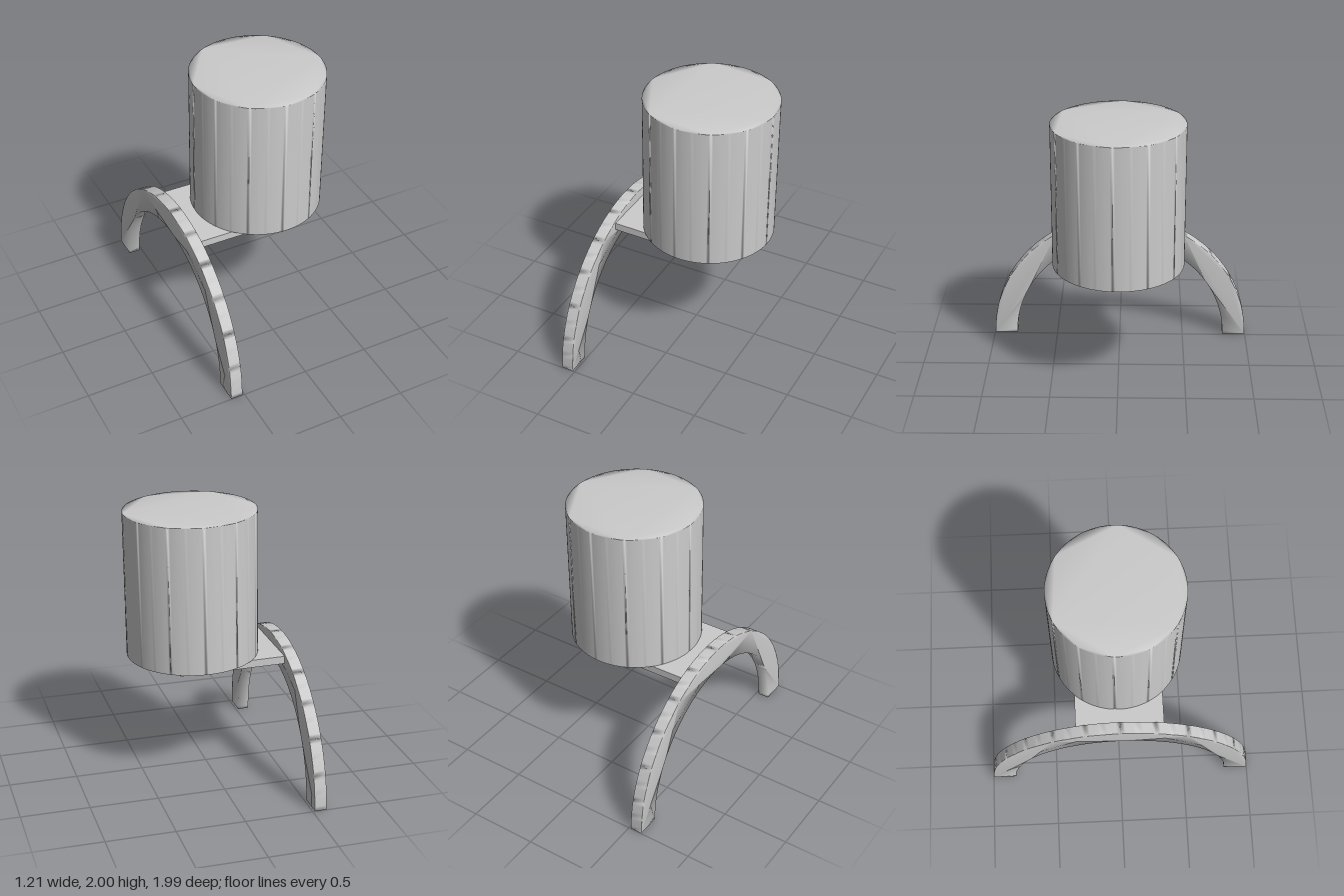
import * as THREE from 'three';
import { mergeVertices } from 'three/addons/utils/BufferGeometryUtils.js';

const material = new THREE.MeshStandardMaterial({ color: 0xcccccc });

// Extrude a shape and share its vertices, so shading runs softly over the edges
function softExtrude(shape, depth, curveSegments) {
  let geometry = new THREE.ExtrudeGeometry(shape, { depth, curveSegments, bevelEnabled: false });
  geometry.deleteAttribute('normal');
  geometry.deleteAttribute('uv');
  geometry = mergeVertices(geometry, 1e-4);
  geometry.computeVertexNormals();
  return geometry;
}

function addPart(parent, name, geometry) {
  const mesh = new THREE.Mesh(geometry, material);
  mesh.name = name;
  parent.add(mesh);
  return mesh;
}

export function createModel() {
  const model = new THREE.Group();
  model.name = 'archMountedCylinder';

  // Everything leans slightly towards +x
  const body = new THREE.Group();
  body.name = 'leaningBody';
  body.rotation.z = -0.014;
  model.add(body);

  // Half-ring arch with a flat rectangular section, spanning front to back
  const ring = new THREE.Shape();
  ring.absarc(0, 0, 0.997, 0, Math.PI, false);
  ring.absarc(0, 0, 0.82, Math.PI, 0, true);
  ring.closePath();
  const arch = softExtrude(ring, 0.088, 48);
  arch.rotateY(Math.PI / 2);
  arch.translate(-0.605, -0.007, 0);
  addPart(body, 'arch', arch);

  // Flat plate reaching from the arch under the cylinder
  const plate = new THREE.BoxGeometry(0.818, 0.057, 0.65);
  addPart(body, 'plate', plate).position.set(-0.141, 0.8875, 0);

  // Solid upright cylinder
  const disc = new THREE.Shape();
  disc.absarc(0, 0, 0.483, 0, Math.PI * 2, false);
  const drum = softExtrude(disc, 1.078, 96);
  drum.rotateX(-Math.PI / 2);
  drum.translate(0.09, 0.9165, 0);
  addPart(body, 'cylinder', drum);

  return model;
}
